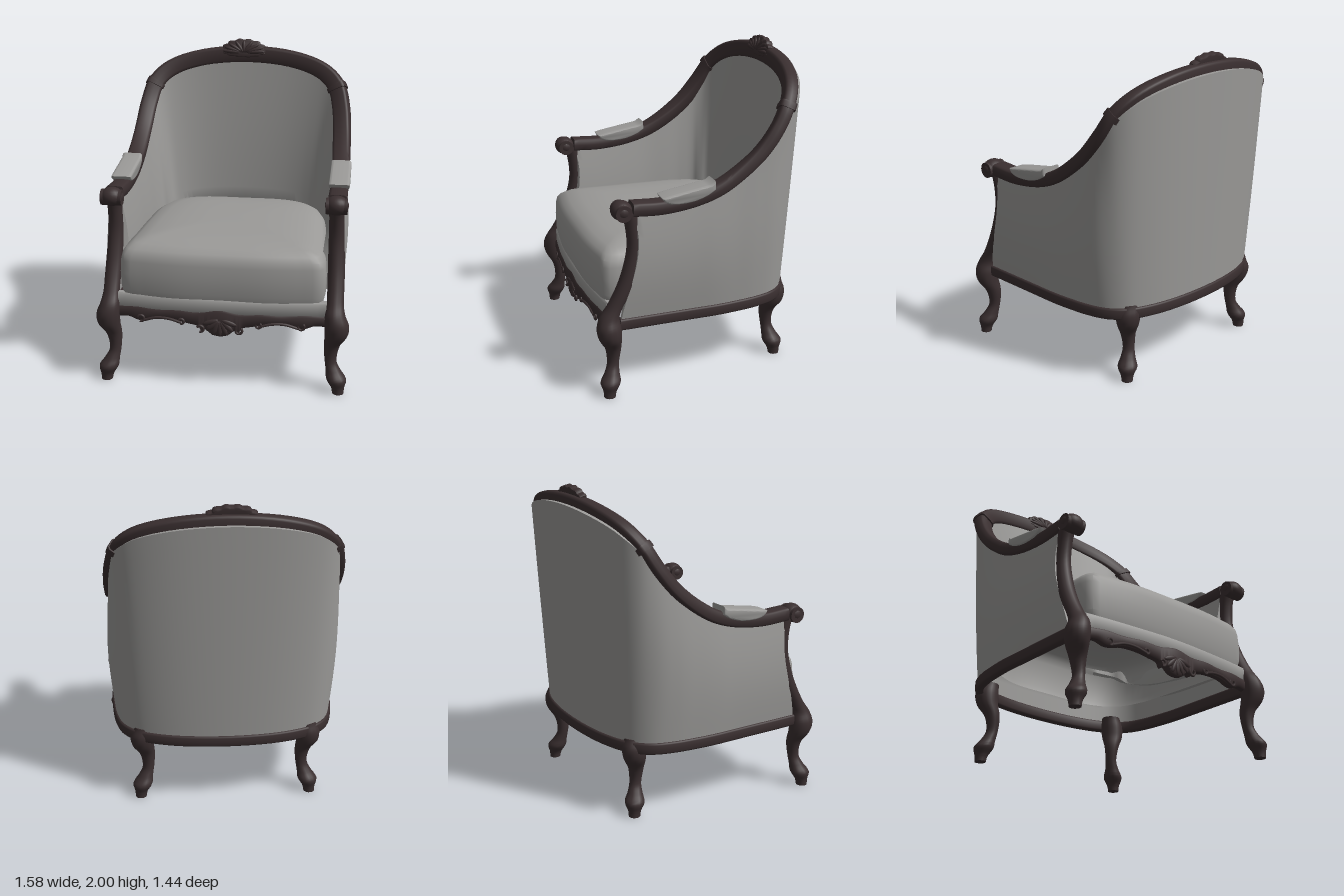
import * as THREE from 'three';
import { toCreasedNormals } from 'three/addons/utils/BufferGeometryUtils.js';

const V = (x, y, z) => new THREE.Vector3(x, y, z);
const UP = V(0, 1, 0);
const spline = (pts, closed = false) => new THREE.CatmullRomCurve3(pts, closed, 'centripetal');
const range = (n, f) => Array.from({ length: n + 1 }, (_, i) => f(i / n));

// Skin over closed rings of points, always facing outward; the first end may stay open
function loft(rings, openStart = false) {
  const n = rings[0].length, pos = [], idx = [];
  const all = rings.flat();
  for (const r of [rings[0], rings[rings.length - 1]]) {
    all.push(r.reduce((c, p) => c.add(p), V(0, 0, 0)).divideScalar(n));
  }
  all.forEach(p => pos.push(p.x, p.y, p.z));
  const last = (rings.length - 1) * n, c0 = rings.length * n;
  for (let j = 0; j < n; j++) {
    const k = (j + 1) % n;
    for (let a = 0; a < last; a += n) idx.push(a + j, a + k, a + n + j, a + k, a + n + k, a + n + j);
    if (!openStart) idx.push(c0, k, j);
    idx.push(c0 + 1, last + j, last + k);
  }
  let volume = 0;
  for (let i = 0; i < idx.length; i += 3) {
    volume += all[idx[i]].dot(all[idx[i + 1]].clone().cross(all[idx[i + 2]]));
  }
  if (volume < 0) idx.reverse();
  const g = new THREE.BufferGeometry();
  g.setAttribute('position', new THREE.Float32BufferAttribute(pos, 3));
  g.setIndex(idx);
  return toCreasedNormals(g, 0.8);
}

// Rounded-rectangle section swept along a curve; ref gives the width direction
function sweep(curve, t0, t1, n, w, h, ref) {
  const soft = v => Math.sign(v) * Math.abs(v) ** 0.45;
  return loft(range(n, k => {
    const t = t0 + (t1 - t0) * k, p = curve.getPoint(t), T = curve.getTangent(t);
    const W = ref(p);
    W.addScaledVector(T, -W.dot(T)).normalize();
    const N = T.clone().cross(W);
    return range(15, a => a * Math.PI * 1.875).map(a => p.clone()
      .addScaledVector(W, soft(Math.cos(a)) * w / 2).addScaledVector(N, soft(Math.sin(a)) * h / 2));
  }));
}

// Turned limb: rows of [x, y, z, radius], mirrored by s
function limb(rows, s, n) {
  const path = spline(rows.map(r => V(r[0] * s, r[1], r[2])));
  const rad = new THREE.SplineCurve(rows.map((r, i) => new THREE.Vector2(i, r[3])));
  return loft(range(n, t => {
    const p = path.getPoint(t), r = rad.getPoint(t).y;
    return range(13, a => a * Math.PI * 2 * 13 / 14)
      .map(a => V(p.x + r * Math.cos(a), p.y, p.z + r * Math.sin(a)));
  }));
}

const mirrored = half => [...half, ...half.slice(0, -1).reverse().map(p => V(-p.x, p.y, p.z))];

export function createModel() {
  const wood = new THREE.MeshStandardMaterial({ color: 0x3a2f30 });
  wood.name = 'dark wood';
  const fabric = new THREE.MeshStandardMaterial({ color: 0x9b9a98, side: THREE.DoubleSide });
  fabric.name = 'grey fabric';
  const model = new THREE.Group();
  model.name = 'armchair';
  const add = (name, geo, mat, x = 0, y = 0, z = 0, parent = model) => {
    const m = new THREE.Mesh(geo, mat);
    m.name = name;
    m.position.set(x, y, z);
    parent.add(m);
    return m;
  };

  // Guide curves: top rail from left arm round to right arm, and the base below it
  const rail = spline(mirrored([
    V(0.69, 1.19, 0.49), V(0.69, 1.182, 0.3), V(0.69, 1.205, 0.1), V(0.69, 1.25, -0.05),
    V(0.685, 1.322, -0.18), V(0.68, 1.44, -0.33), V(0.665, 1.58, -0.445), V(0.627, 1.705, -0.52),
    V(0.53, 1.795, -0.58), V(0.33, 1.862, -0.63), V(0, 1.892, -0.65)]));
  const base = spline(mirrored([
    V(0.7, 0.49, 0.57), V(0.7, 0.49, 0.34), V(0.7, 0.49, 0.12), V(0.7, 0.49, -0.05),
    V(0.69, 0.49, -0.18), V(0.67, 0.49, -0.32), V(0.63, 0.49, -0.44), V(0.56, 0.49, -0.52),
    V(0.46, 0.49, -0.57), V(0.28, 0.49, -0.615), V(0, 0.49, -0.635)]));

  // Upholstered shell between the two curves; the padded lining starts beside the cushion
  const levels = range(12, v => v);
  add('upholsteredShell', loft(range(100, t => {
    const B = base.getPoint(t), P = rail.getPoint(t);
    const n = base.getTangent(t).cross(UP).normalize();
    const back = Math.max(0, -n.z), corner = 4 * (n.x * n.z) ** 2;
    const at = (v, o) => {
      const p = B.clone().lerp(P, v).addScaledVector(n, o);
      p.z -= 0.055 * Math.sin(Math.PI * v ** 1.5) * Math.max(0, B.z / 0.57);
      return p;
    };
    const outer = levels.map(v => at(v, 0.02 + v * (0.01 + 0.04 * back ** 3) + 0.03 * Math.sin(Math.PI * v) * (1 - back)));
    const inner = levels.map(v => at(v, v < 0.24 ? 0
      : -0.1 - 0.05 * corner + (0.07 + 0.05 * corner) * v - 0.02 * Math.sin(Math.PI * v)));
    return [...outer, ...inner.reverse()];
  })), fabric);

  // Wooden top rail, its two collars and the lower rail
  const outward = p => V(p.x, (p.y - 1.2) * 1.1, 0);
  add('topRail', sweep(rail, 0, 1, 110, 0.115, 0.085, outward), wood);
  for (const t of [0.345, 0.655]) add('railCollar', sweep(rail, t - 0.006, t + 0.006, 4, 0.13, 0.105, outward), wood);
  const low = spline(base.points.map(p => V(p.x * 1.01, 0.465, p.z * 1.01)));
  add('lowerRail', sweep(low, 0, 1, 80, 0.075, 0.055, () => UP.clone()), wood);

  // Cabriole leg profile
  const leg = [[0.735, 0, 0.655, 0.036], [0.732, 0.04, 0.652, 0.042], [0.722, 0.09, 0.645, 0.062],
    [0.702, 0.14, 0.63, 0.047], [0.683, 0.2, 0.617, 0.037], [0.688, 0.3, 0.615, 0.049],
    [0.713, 0.38, 0.638, 0.07], [0.715, 0.45, 0.645, 0.075], [0.703, 0.515, 0.64, 0.062]];
  const post = [[0.7, 0.58, 0.605, 0.052], [0.7, 0.67, 0.555, 0.052], [0.697, 0.79, 0.505, 0.052],
    [0.692, 0.95, 0.472, 0.048], [0.69, 1.08, 0.482, 0.046], [0.69, 1.17, 0.5, 0.05]];
  const backLeg = leg.map(([x, y, z, r]) => [x - 0.185, y, 0.13 - z, r]);

  // Arm pad side profile, (z, y)
  const pad = new THREE.Shape();
  pad.moveTo(0.3, 1.24);
  pad.quadraticCurveTo(0.15, 1.265, 0.005, 1.288);
  pad.lineTo(-0.01, 1.303);
  pad.lineTo(-0.008, 1.27);
  pad.quadraticCurveTo(0.08, 1.205, 0.22, 1.21);
  pad.quadraticCurveTo(0.28, 1.212, 0.3, 1.24);
  const padGeo = toCreasedNormals(new THREE.ExtrudeGeometry(pad, {
    depth: 0.094, bevelSize: 0.011, bevelThickness: 0.018, bevelSegments: 4, curveSegments: 10,
  }).translate(0, 0, -0.047).rotateY(-Math.PI / 2), 0.9);

  // Front edge bows forward
  const bow = x => 0.7 - 0.05 * (x / 0.65) ** 2;

  for (const s of [1, -1]) {
    const side = s > 0 ? 'left' : 'right';
    add(side + 'FrontLegAndArmPost', limb([...leg, ...post], s, 64), wood);
    add(side + 'BackLeg', limb(backLeg, s, 40), wood);
    add(side + 'ArmPad', padGeo, fabric, s * 0.692);
    // Scrolled hand rest
    add(side + 'HandRest', new THREE.SphereGeometry(1, 20, 14), wood, s * 0.69, 1.185, 0.55).scale.set(0.072, 0.06, 0.064);
    add(side + 'HandScroll', new THREE.CylinderGeometry(0.05, 0.05, 0.13, 20).rotateZ(Math.PI / 2), wood, s * 0.69, 1.18, 0.55);
    // Carved scrolls on the apron
    for (const [x, y, r] of [[0.5, 0.437, 0.02], [0.24, 0.44, 0.016], [0.12, 0.4, 0.02]]) {
      const c = add(side + 'ApronScroll', new THREE.TorusGeometry(r, 0.008, 8, 18, 4.6), wood, s * x, y, bow(x) + 0.002);
      c.rotation.z = s > 0 ? 2.6 : -1.9;
    }
    const vine = spline([V(s * 0.48, 0.425, bow(0.48)), V(s * 0.4, 0.45, bow(0.4)), V(s * 0.32, 0.45, bow(0.32)), V(s * 0.24, 0.43, bow(0.24))]);
    add(side + 'ApronMoulding', new THREE.TubeGeometry(vine, 16, 0.009, 8), wood);
  }

  // Front apron with a scalloped lower edge
  const edge = spline(mirrored([V(0.66, 0.43, 0), V(0.58, 0.437, 0), V(0.52, 0.418, 0), V(0.47, 0.42, 0),
    V(0.4, 0.438, 0), V(0.28, 0.438, 0), V(0.2, 0.425, 0), V(0.135, 0.41, 0), V(0.115, 0.378, 0),
    V(0.09, 0.392, 0), V(0.05, 0.362, 0), V(0, 0.352, 0)]));
  const strip = (x, y0, y1, z0, z1) => [V(x, y0, z0), V(x, y0, z1 - 0.01), V(x, y0 + 0.012, z1),
    V(x, y1 - 0.012, z1), V(x, y1, z1 - 0.01), V(x, y1, z0)];
  add('frontApron', loft(range(110, t => {
    const { x, y } = edge.getPoint(t);
    const top = 0.505 + 0.016 * Math.exp(-((x / 0.1) ** 2)) + 0.004 * Math.cos(x * 24);
    return strip(x, y, top, bow(x) - 0.045, bow(x));
  })), wood);
  add('seatFrontBand', loft(range(24, t => {
    const x = 0.65 - 1.3 * t;
    return strip(x, 0.49, 0.588, bow(x) - 0.05, bow(x) - 0.008);
  })), fabric);

  // Fan of carved lobes at the middle of the apron
  for (let i = -3; i <= 3; i++) {
    const a = i * 0.42;
    const lobe = add('apronShellLobe', new THREE.SphereGeometry(1, 12, 8), wood,
      Math.sin(a) * 0.06, 0.465 - Math.cos(a) * 0.06, 0.698);
    lobe.scale.set(0.017, 0.052, 0.012);
    lobe.rotation.z = a;
  }

  // Crest: scalloped plaque with raised lobes, leaning back
  const crest = new THREE.Group();
  crest.name = 'crest';
  crest.position.set(-0.025, 1.915, -0.63);
  crest.rotation.x = -0.25;
  model.add(crest);
  const outline = range(120, t => {
    const a = t * Math.PI * 2, k = 1 + 0.05 * Math.cos(14 * a);
    return new THREE.Vector2(0.148 * k * Math.cos(a), (a < Math.PI ? 0.075 : 0.035) * k * Math.sin(a));
  }).slice(0, -1);
  add('crestPlaque', toCreasedNormals(new THREE.ExtrudeGeometry(new THREE.Shape(outline), {
    depth: 0.025, bevelSize: 0.008, bevelThickness: 0.012, bevelSegments: 2,
  }), 0.6), wood, 0, 0, -0.012, crest);
  for (let i = -4; i <= 4; i++) {
    const a = i * 0.36;
    const lobe = add('crestLobe', new THREE.SphereGeometry(1, 12, 8), wood,
      Math.sin(a) * 0.085, -0.012 + Math.cos(a) * 0.042, 0.024, crest);
    lobe.scale.set(0.014, 0.043 + 0.02 * Math.abs(Math.sin(a)), 0.014);
    lobe.rotation.z = -Math.atan2(Math.sin(a) * 2, Math.cos(a));
  }

  // Domed seat cushion, hollow underneath: one plan outline stacked at several heights
  const half = [V(0, 0, 0.69), V(0.3, 0, 0.685), V(0.52, 0, 0.66), V(0.615, 0, 0.64), V(0.635, 0, 0.59),
    V(0.625, 0, 0.3), V(0.61, 0, 0), V(0.585, 0, -0.25), V(0.51, 0, -0.43), V(0.34, 0, -0.525), V(0, 0, -0.54)];
  const plan = spline([...half, ...half.slice(1, -1).reverse().map(p => V(-p.x, 0, p.z))], true);
  const ring = plan.getSpacedPoints(96).slice(0, -1);
  const layers = [[0.985, 0.58], [1, 0.62], [1.005, 0.72], [0.998, 0.8], [0.985, 0.84],
    [0.95, 0.872], [0.88, 0.9], [0.75, 0.921], [0.55, 0.934], [0.3, 0.94], [0.08, 0.941]];
  add('seatCushion', loft(layers.map(([k, y]) => ring.map(p => V(p.x * k, y, 0.08 + (p.z - 0.08) * k))), true), fabric);

  return model;
}
